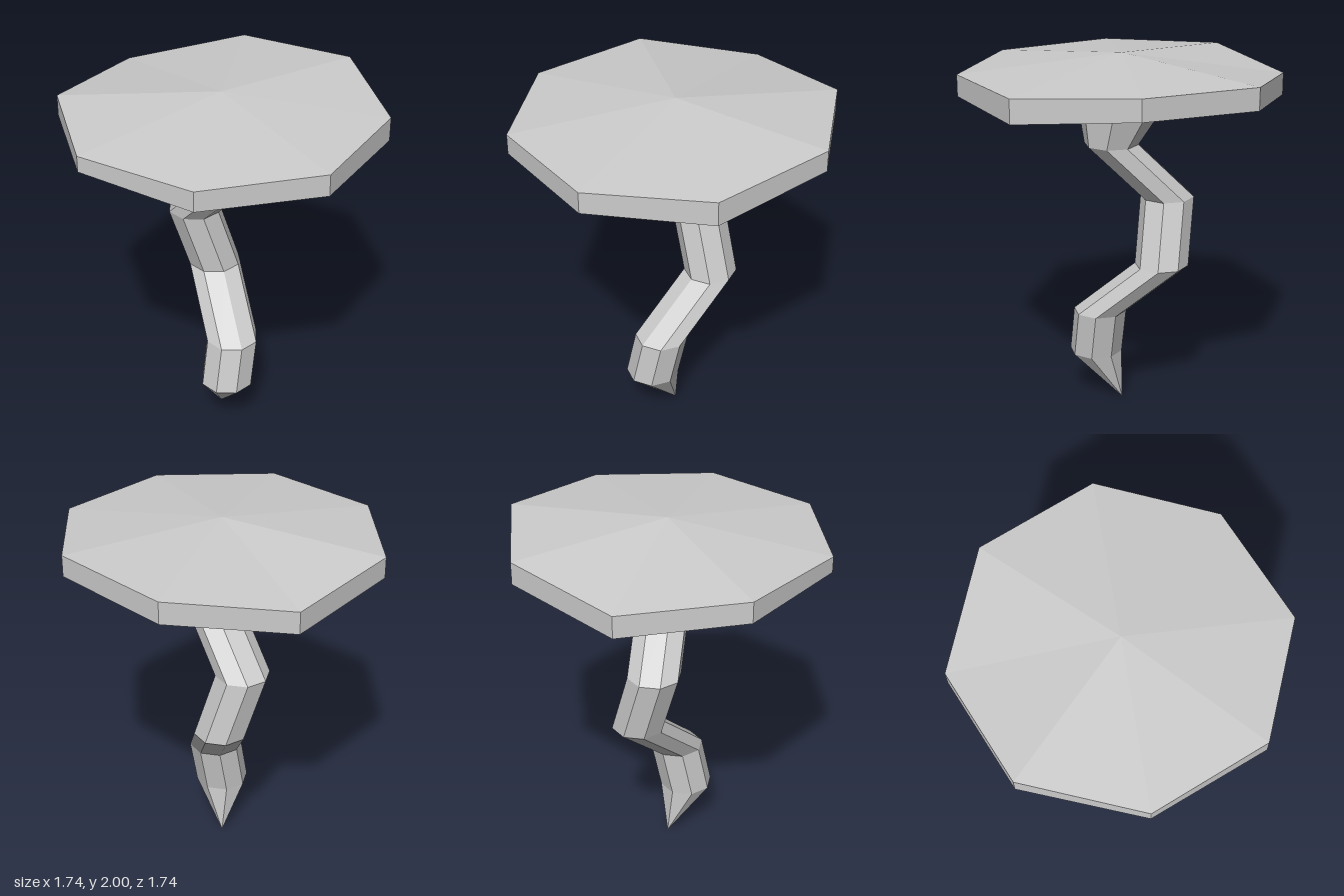
import * as THREE from 'three';

const SIDES = 8;

// Eight-sided ring; heights may be one number or one per corner
function ring(x, z, radius, heights, turn) {
  return Array.from({ length: SIDES }, (_, i) => {
    const a = turn + (i * Math.PI * 2) / SIDES;
    const y = Array.isArray(heights) ? heights[i] : heights;
    return [x + radius * Math.cos(a), y, z + radius * Math.sin(a)];
  });
}

// Faceted skin through rings listed from bottom to top; a ring of radius 0 is a point
function loft(name, rings, material) {
  const index = [];
  const isPoint = (r) => r[0][0] === r[1][0] && r[0][2] === r[1][2];
  for (let k = 0; k < rings.length - 1; k++) {
    for (let j = 0; j < SIDES; j++) {
      const n = (j + 1) % SIDES;
      const a = k * SIDES, b = a + SIDES;
      if (!isPoint(rings[k])) index.push(a + j, b + j, a + n);
      if (!isPoint(rings[k + 1])) index.push(a + n, b + j, b + n);
    }
  }
  const geometry = new THREE.BufferGeometry();
  geometry.setAttribute('position', new THREE.Float32BufferAttribute(rings.flat(2), 3));
  geometry.setIndex(index);
  geometry.computeVertexNormals();
  const mesh = new THREE.Mesh(geometry, material);
  mesh.name = name;
  return mesh;
}

export function createModel() {
  const group = new THREE.Group();
  group.name = 'crookedMushroom';
  const material = new THREE.MeshStandardMaterial({
    color: 0xcccccc, flatShading: true, side: THREE.DoubleSide,
  });

  // Crooked stem: x, y, z, radius, from the pointed foot to the flared top
  const joints = [
    [0, 0, 0, 0],
    [0.053, 0.275, 0.148, 0.147],
    [0.075, 0.54, 0.098, 0.147],
    [-0.073, 0.84, -0.218, 0.147],
    [-0.178, 1.2, -0.173, 0.147],
    [0.07, 1.515, 0.018, 0.147],
    [0, 1.745, 0, 0.247],
  ];
  const stemTurn = THREE.MathUtils.degToRad(15);
  group.add(loft('stem', joints.map(([x, y, z, r]) => ring(x, z, r, y, stemTurn)), material));

  // Cap: shallow cones above and below a wavy rim, corners from +x round by the front
  const rimLow = [1.785, 1.785, 1.79, 1.815, 1.8, 1.75, 1.82, 1.845];
  const rimHigh = [1.915, 1.902, 1.9, 1.902, 1.915, 1.87, 1.94, 1.96];
  group.add(loft('cap', [
    ring(0, 0, 0, 1.745, 0),
    ring(0, 0, 0.87, rimLow, 0),
    ring(0, 0, 0.87, rimHigh, 0),
    ring(0, 0, 0, 2, 0),
  ], material));

  return group;
}
